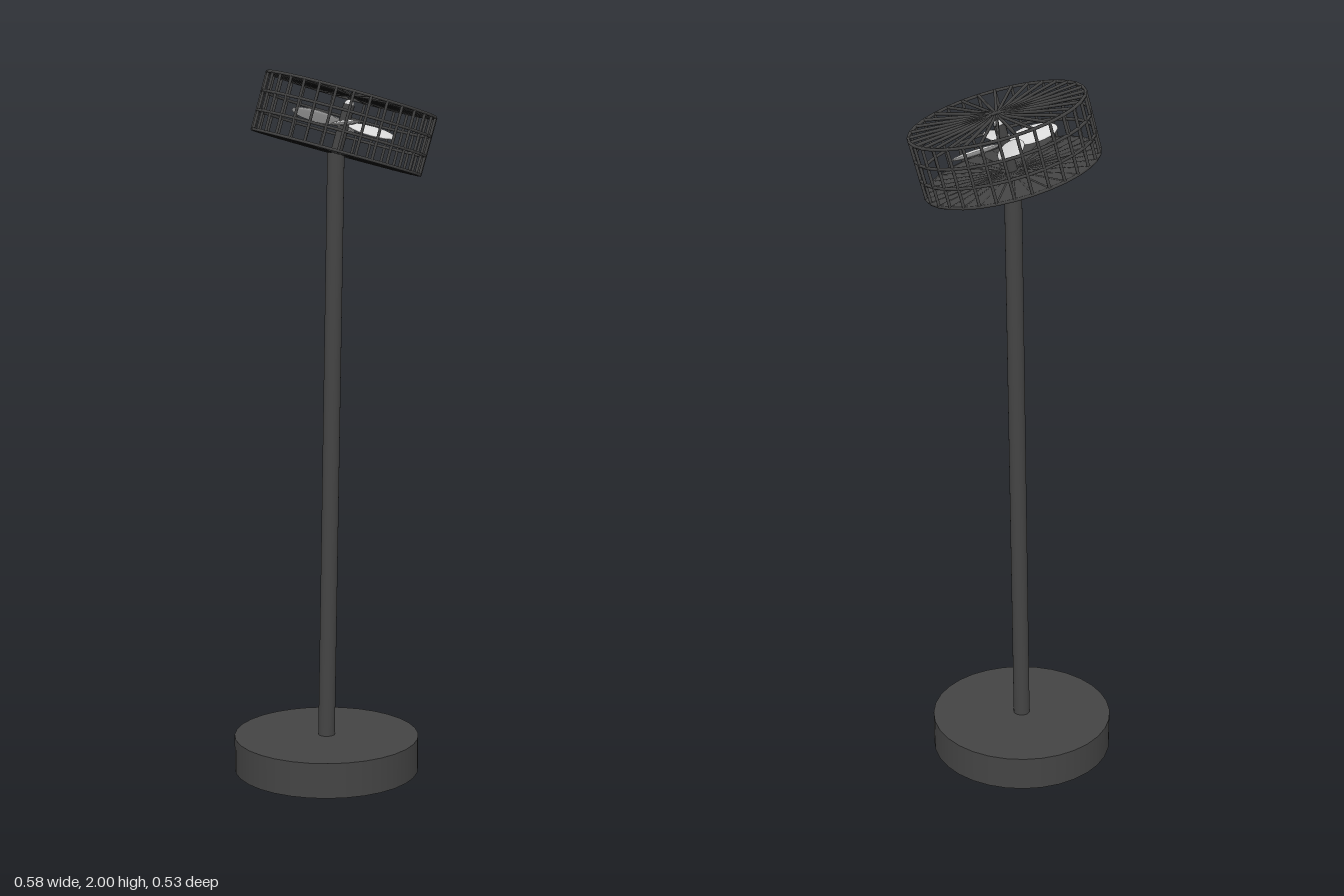
import * as THREE from 'three';

export function createModel() {
  const model = new THREE.Group();
  model.name = 'pedestalFan';
  const dark = new THREE.MeshStandardMaterial({ color: 0x444444 });
  dark.name = 'charcoal';
  const light = new THREE.MeshStandardMaterial({ color: 0xd8d8d8 });
  light.name = 'lightGrey';

  const add = (parent, name, geometry, material, x = 0, y = 0, z = 0) => {
    const mesh = new THREE.Mesh(geometry, material);
    mesh.name = name;
    mesh.position.set(x, y, z);
    parent.add(mesh);
    return mesh;
  };

  // Round rod between two points
  const rod = (parent, name, a, b, radius, sides) => {
    const dir = b.clone().sub(a);
    const mesh = add(parent, name, new THREE.CylinderGeometry(radius, radius, dir.length(), sides), dark);
    mesh.position.copy(a).add(b).multiplyScalar(0.5);
    mesh.quaternion.setFromUnitVectors(new THREE.Vector3(0, 1, 0), dir.normalize());
    return mesh;
  };

  // Weighted base and slightly leaning pole
  add(model, 'base', new THREE.CylinderGeometry(0.267, 0.267, 0.1, 32), dark, -0.022, 0.05, 0);
  rod(model, 'pole', new THREE.Vector3(-0.022, 0.09, 0), new THREE.Vector3(0.005, 1.772, 0), 0.024, 24);

  // Tilted head: local y is the fan axis
  const head = new THREE.Group();
  head.name = 'fanHead';
  head.position.set(0.0275, 1.851, 0);
  head.rotation.z = -THREE.MathUtils.degToRad(15.2);
  model.add(head);

  const R = 0.242, H = 0.081, wire = 0.0045, spokes = 32;
  const ring = (name, radius, y) => {
    add(head, name, new THREE.TorusGeometry(radius, wire, 6, spokes), dark, 0, y, 0).rotation.x = Math.PI / 2;
  };

  // Cage hoops and hub rings
  for (let i = 0; i < 4; i++) ring('cageHoop', R, -H + (2 * H * i) / 3);
  ring('frontHubRing', 0.018, H);
  ring('rearHubRing', 0.018, -H);

  // Spokes on both faces and the bars joining them
  const polar = (r, y, a) => new THREE.Vector3(r * Math.cos(a), y, r * Math.sin(a));
  for (let i = 0; i < spokes; i++) {
    const a = (i / spokes) * Math.PI * 2;
    rod(head, 'frontSpoke', polar(0.018, H, a), polar(R, H, a), wire, 6);
    rod(head, 'rearSpoke', polar(0.018, -H, a), polar(R, -H, a), wire, 6);
    rod(head, 'sideBar', polar(R, -H, a), polar(R, H, a), wire, 6);
  }

  // Closed rear plate
  add(head, 'rearPlate', new THREE.CylinderGeometry(R, R, 0.006, spokes), dark, 0, -H, 0);

  // Motor shaft and spinner cap
  add(head, 'shaft', new THREE.CylinderGeometry(0.016, 0.016, 0.135, 16), dark, 0, -0.0135, 0);
  add(head, 'spinnerCap', new THREE.SphereGeometry(0.014, 16, 10), light, 0, 0.054, 0);

  // Four pitched oval blades
  for (let i = 0; i < 4; i++) {
    const arm = new THREE.Group();
    arm.name = 'bladeArm';
    arm.rotation.y = (i * Math.PI) / 2;
    head.add(arm);
    const blade = add(arm, 'blade', new THREE.SphereGeometry(1, 20, 12), light, 0.08, 0, 0);
    blade.scale.set(0.07, 0.008, 0.04);
    blade.rotation.x = 0.35;
  }

  return model;
}
